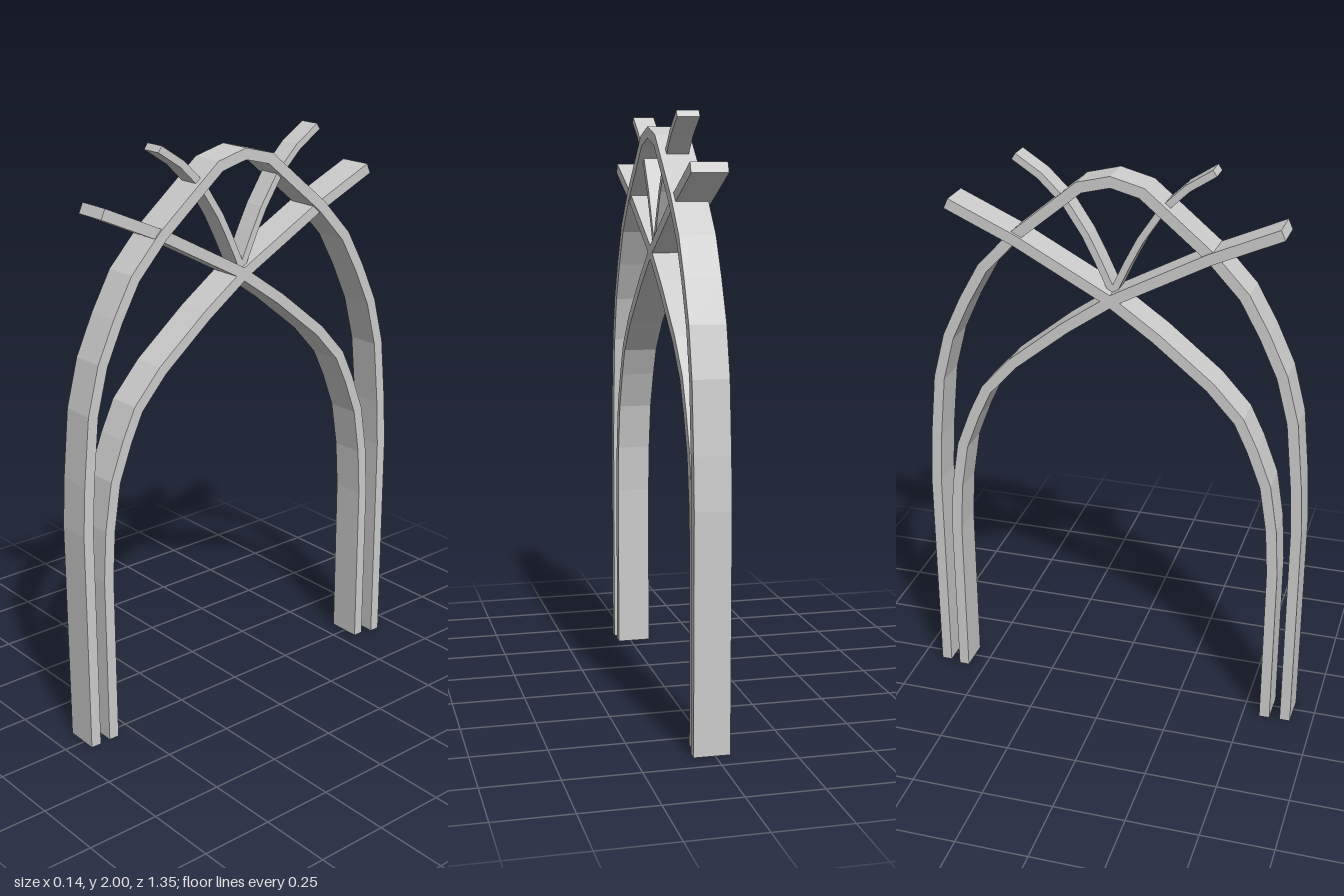
import * as THREE from 'three';

const material = new THREE.MeshStandardMaterial({ color: 0xcccccc, flatShading: true });

// Half profiles as [z, y] centrelines
const archHalf = [[0.655, 0], [0.655, 0.78], [0.645, 0.95], [0.622, 1.18], [0.58, 1.34],
  [0.517, 1.475], [0.447, 1.6], [0.335, 1.72], [0.22, 1.815], [0.105, 1.91]];
const ribPath = [[0.58, 0], [0.58, 0.6], [0.569, 0.77], [0.542, 0.935], [0.492, 1.065], [0.444, 1.165],
  [0.344, 1.275], [0.159, 1.425], [-0.012, 1.545], [-0.328, 1.715], [-0.56, 1.819]];
const branchPath = [[0, 1.555], [-0.018, 1.595], [-0.052, 1.667], [-0.092, 1.745], [-0.16, 1.848],
  [-0.244, 1.93], [-0.331, 1.987]];

const mirror = (path) => path.map(([z, y]) => [-z, y]);

// Flat bar of constant thickness bent along a path, with mitred joints
function bar(name, path, thickness, width) {
  const pts = path.map(([z, y]) => new THREE.Vector2(z, y));
  const dir = (i) => pts[i + 1].clone().sub(pts[i]).normalize();
  const left = [], right = [];
  pts.forEach((p, i) => {
    const a = dir(Math.max(i - 1, 0));
    const b = dir(Math.min(i, pts.length - 2));
    const t = a.clone().add(b).normalize();
    const offset = new THREE.Vector2(-t.y, t.x).multiplyScalar(thickness / 2 / t.dot(a));
    left.push(p.clone().add(offset));
    right.push(p.clone().sub(offset));
  });
  const shape = new THREE.Shape([...left, ...right.reverse()]);
  const geometry = new THREE.ExtrudeGeometry(shape, { depth: width, bevelEnabled: false });
  geometry.translate(0, 0, -width / 2).rotateY(-Math.PI / 2);
  const mesh = new THREE.Mesh(geometry, material);
  mesh.name = name;
  return mesh;
}

export function createModel() {
  const model = new THREE.Group();
  model.name = 'crossedArch';

  // Place a bar with a slight turn about the vertical axis
  const add = (mesh, x, turn) => {
    mesh.position.x = x;
    mesh.rotation.y = turn;
    model.add(mesh);
  };

  // Outer pointed arch
  const archPath = [...archHalf, [0, 1.937], ...mirror(archHalf).reverse()];
  add(bar('outerArch', archPath, 0.037, 0.119), -0.001, -0.017);

  // Crossing ribs
  add(bar('frontRib', ribPath, 0.037, 0.119), -0.009, -0.008);
  add(bar('backRib', mirror(ribPath), 0.037, 0.119), -0.009, -0.008);

  // Slim branches rising from the crossing
  add(bar('backBranch', branchPath, 0.024, 0.074), 0.001, -0.008);
  add(bar('frontBranch', mirror(branchPath), 0.024, 0.074), 0.001, -0.008);

  return model;
}
